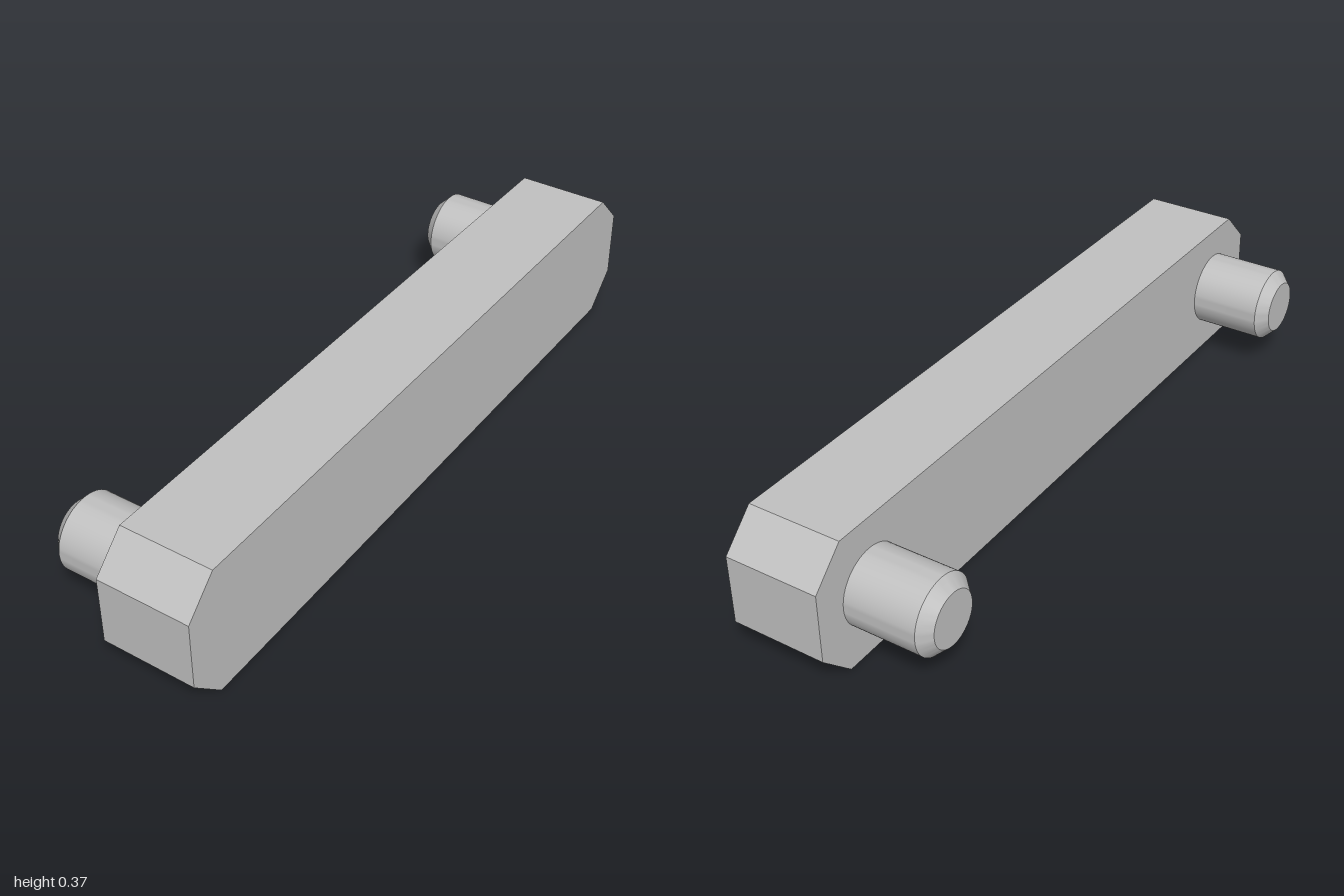
import * as THREE from 'three';
import { toCreasedNormals } from 'three/addons/utils/BufferGeometryUtils.js';

const HEIGHT = 0.368, HALF_LENGTH = 1, CHAMFER = 0.09;
const BAR_LEFT = 0.24, BAR_RIGHT = -0.015;
const PIN_RADIUS = 0.102, PIN_LENGTH = 0.225, PIN_BEVEL = 0.03, PIN_Z = 0.815;

export function createModel() {
  const model = new THREE.Group();
  model.name = 'pinnedBar';
  const grey = new THREE.MeshStandardMaterial({ color: 0xc0c0c0 });
  grey.name = 'light grey';

  // Bar: side outline with clipped corners, extruded across x
  const end = HALF_LENGTH - CHAMFER, top = HEIGHT - CHAMFER;
  const outline = new THREE.Shape([
    [-end, 0], [end, 0], [HALF_LENGTH, CHAMFER], [HALF_LENGTH, top],
    [end, HEIGHT], [-end, HEIGHT], [-HALF_LENGTH, top], [-HALF_LENGTH, CHAMFER],
  ].map(([z, y]) => new THREE.Vector2(z, y)));
  const barGeometry = new THREE.ExtrudeGeometry(outline, {
    depth: BAR_LEFT - BAR_RIGHT, bevelEnabled: false,
  });
  barGeometry.rotateY(Math.PI / 2);
  barGeometry.translate(BAR_RIGHT, 0, 0);
  const bar = new THREE.Mesh(barGeometry, grey);
  bar.name = 'bar';
  model.add(bar);

  // Pins: round pegs with a bevelled tip, pointing towards -x
  const profile = [
    [PIN_RADIUS, 0], [PIN_RADIUS, PIN_LENGTH - PIN_BEVEL],
    [PIN_RADIUS - PIN_BEVEL, PIN_LENGTH], [0, PIN_LENGTH],
  ].map(([r, y]) => new THREE.Vector2(r, y));
  const pinGeometry = toCreasedNormals(new THREE.LatheGeometry(profile, 64), Math.PI / 6);
  pinGeometry.rotateZ(Math.PI / 2);
  for (const [name, side] of [['frontPin', 1], ['backPin', -1]]) {
    const pin = new THREE.Mesh(pinGeometry, grey);
    pin.name = name;
    pin.position.set(BAR_RIGHT, HEIGHT / 2, side * PIN_Z);
    model.add(pin);
  }
  return model;
}
